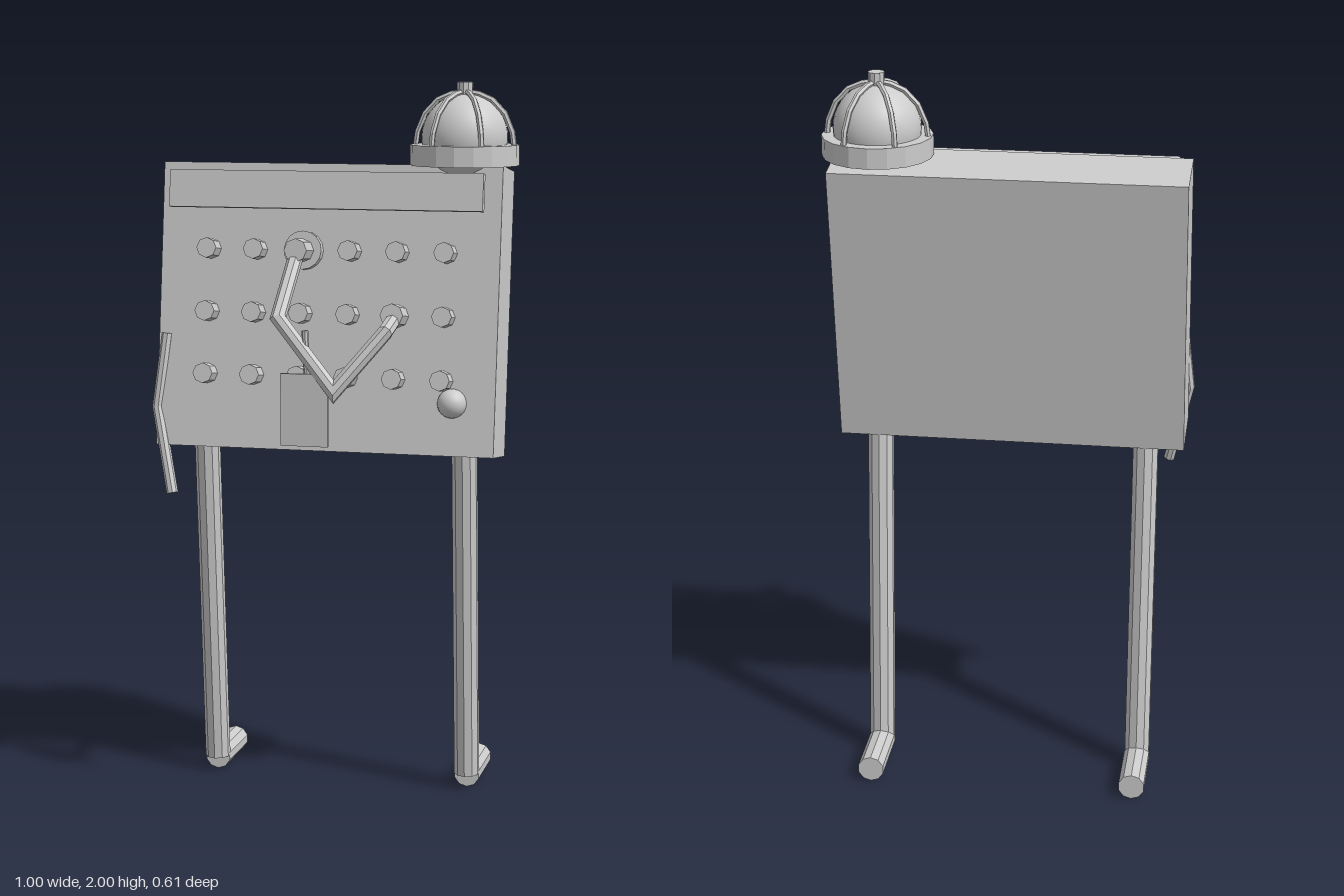
import * as THREE from 'three';

const grey = new THREE.MeshStandardMaterial({ color: 0xcccccc });
const V = (x, y, z) => new THREE.Vector3(x, y, z);

function add(parent, name, geometry, position = V(0, 0, 0), smooth = false) {
  let g = geometry;
  if (!smooth) {
    if (g.index) g = g.toNonIndexed();
    g.computeVertexNormals();
  }
  const mesh = new THREE.Mesh(g, grey);
  mesh.name = name;
  mesh.position.copy(position);
  parent.add(mesh);
  return mesh;
}

// Faceted rod between two points
function rod(parent, name, a, b, radius, sides = 8) {
  const d = b.clone().sub(a);
  const mesh = add(parent, name, new THREE.CylinderGeometry(radius, radius, d.length(), sides),
    a.clone().add(b).multiplyScalar(0.5));
  mesh.quaternion.setFromUnitVectors(V(0, 1, 0), d.normalize());
  return mesh;
}

// Faceted pipe with mitred bends through a list of points
function pipe(parent, name, points, radius, sides = 8) {
  const dirs = points.slice(1).map((p, i) => p.clone().sub(points[i]).normalize());
  const q = new THREE.Quaternion().setFromUnitVectors(V(0, 0, 1), dirs[0]);
  let ring = [];
  for (let i = 0; i < sides; i++) {
    const a = (i + 0.5) / sides * Math.PI * 2;
    ring.push(V(Math.cos(a) * radius, Math.sin(a) * radius, 0).applyQuaternion(q).add(points[0]));
  }
  const verts = [...ring], index = [];
  dirs.forEach((d, s) => {
    const end = points[s + 1];
    const n = dirs[s + 1] ? d.clone().add(dirs[s + 1]) : d;
    ring = ring.map(p => p.clone().addScaledVector(d, end.clone().sub(p).dot(n) / d.dot(n)));
    verts.push(...ring);
    for (let i = 0; i < sides; i++) {
      const a = s * sides + i, b = s * sides + (i + 1) % sides;
      index.push(a, b, b + sides, a, b + sides, a + sides);
    }
  });
  const last = dirs.length * sides;
  for (let i = 1; i < sides - 1; i++) {
    index.push(0, i + 1, i, last, last + i, last + i + 1);
  }
  const g = new THREE.BufferGeometry().setFromPoints(verts);
  g.setIndex(index);
  return add(parent, name, g);
}

export function createModel() {
  const model = new THREE.Group();
  model.name = 'walkingControlPanel';

  // Leaning cabinet
  const cabinet = new THREE.Group();
  cabinet.name = 'cabinet';
  cabinet.position.set(-0.007, 1.375, -0.041);
  cabinet.rotation.x = -0.138;
  model.add(cabinet);
  add(cabinet, 'cabinetBox', new THREE.BoxGeometry(0.954, 0.788, 0.183));

  // Sign strip floating before the upper edge
  const strip = add(model, 'topStrip', new THREE.BoxGeometry(0.875, 0.102, 0.025), V(-0.007, 1.709, 0.066));
  strip.rotation.x = -0.138;

  // Three rows of knobs
  const face = 0.0915;
  for (const y of [0.155, -0.018, -0.19]) {
    for (let i = 0; i < 6; i++) {
      const x = -0.333 + i * 0.133;
      rod(cabinet, 'knob', V(x, y, face - 0.01), V(x, y, face + 0.055), 0.028);
    }
  }

  // Arm sockets and round collar
  rod(cabinet, 'armCollar', V(-0.067, 0.155, face - 0.01), V(-0.067, 0.155, face + 0.025), 0.053, 16);
  rod(cabinet, 'armSocket', V(-0.067, 0.155, face), V(-0.067, 0.15, face + 0.105), 0.032);
  rod(cabinet, 'armSocket', V(0.199, -0.018, face), V(0.199, -0.018, face + 0.078), 0.032);

  // Bent arm reaching from one socket to the other
  pipe(model, 'bentArm', [
    V(-0.078, 1.54, 0.1), V(-0.088, 1.38, 0.26), V(0.07, 1.19, 0.283),
    V(0.197, 1.345, 0.23), V(0.192, 1.365, 0.1),
  ], 0.021);

  // Hanging card and its pin
  add(model, 'card', new THREE.BoxGeometry(0.13, 0.195, 0.009), V(-0.01, 1.138, 0.283));
  rod(model, 'cardPin', V(-0.012, 1.35, 0.268), V(-0.005, 1.22, 0.27), 0.009);

  // Side lever
  pipe(model, 'sideLever', [
    V(-0.463, 1.305, 0.055), V(-0.485, 1.1, 0.08), V(-0.432, 0.865, 0.124),
  ], 0.016);

  // Round button near the lower corner
  add(model, 'ballButton', new THREE.SphereGeometry(0.04, 24, 16), V(0.352, 1.14, 0.087), true);

  // Caged lamp
  const lamp = new THREE.Group();
  lamp.name = 'lamp';
  lamp.position.set(0.352, 0, -0.065);
  model.add(lamp);
  add(lamp, 'lampRim', new THREE.CylinderGeometry(0.149, 0.149, 0.056, 18), V(0, 1.803, 0));
  add(lamp, 'lampDome', new THREE.SphereGeometry(0.118, 32, 20), V(0, 1.85, 0), true);
  add(lamp, 'lampCap', new THREE.CylinderGeometry(0.022, 0.022, 0.045, 10), V(0, 1.977, 0));
  for (let i = 0; i < 6; i++) {
    const a = i * Math.PI / 3;
    const profile = [[0.137, 1.82], [0.131, 1.865], [0.11, 1.915], [0.075, 1.952], [0.038, 1.968], [0, 1.974]];
    pipe(lamp, 'cageBar', profile.map(([r, y]) => V(Math.cos(a) * r, y, Math.sin(a) * r)), 0.008, 6);
  }

  // Legs with backward feet
  for (const x of [-0.377, 0.365]) {
    rod(model, 'leg', V(x, 1.0, -0.036), V(x, 0.042, -0.115), 0.036, 10);
    rod(model, 'foot', V(x, 0.037, -0.115), V(x, 0.037, -0.305), 0.037, 10);
  }

  return model;
}
